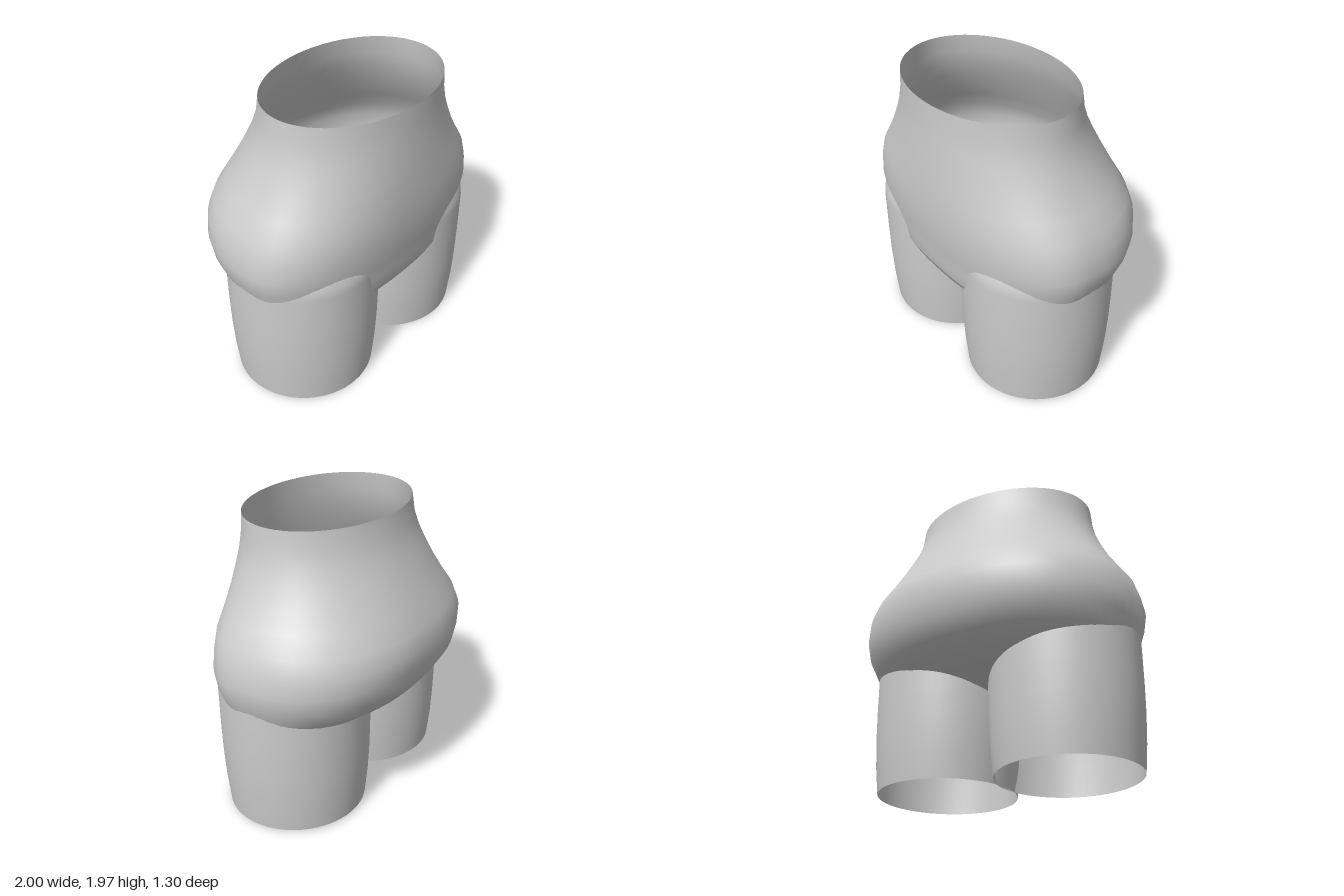
import * as THREE from 'three';

const material = new THREE.MeshStandardMaterial({ color: 0xcccccc, side: THREE.DoubleSide });
const SEGMENTS = 64;

// Smooth skin over closed rings, listed top to bottom.
// Each ring: [y, half width, front z, back z, roundness exponent]
function loft(rings, cx, cz, shift = () => 0) {
  const pos = [], index = [];
  const bend = (v, n) => Math.sign(v) * Math.pow(Math.abs(v), 2 / n);
  rings.forEach(([y, w, front, back, n], r) => {
    for (let i = 0; i < SEGMENTS; i++) {
      const a = (i / SEGMENTS) * Math.PI * 2;
      const c = bend(Math.cos(a), n), s = bend(Math.sin(a), n);
      const depth = s > 0 ? front - cz : cz - back;
      pos.push(cx + w * c, y + shift(y, w * c, depth * s), cz + depth * s);
      if (r === 0) continue;
      const j = (i + 1) % SEGMENTS, up = (r - 1) * SEGMENTS, dn = r * SEGMENTS;
      index.push(up + i, up + j, dn + i, up + j, dn + j, dn + i);
    }
  });
  const g = new THREE.BufferGeometry();
  g.setAttribute('position', new THREE.Float32BufferAttribute(pos, 3));
  g.setIndex(index);
  g.computeVertexNormals();
  return g;
}

export function createModel() {
  const model = new THREE.Group();
  model.name = 'mannequinHips';

  // Torso: open at the waist, closed underneath
  const torso = new THREE.Mesh(loft([
    [1.97, 0.655, 0.615, -0.345, 2],
    [1.85, 0.667, 0.617, -0.365, 2],
    [1.74, 0.69, 0.622, -0.402, 2.05],
    [1.63, 0.735, 0.63, -0.45, 2.1],
    [1.52, 0.79, 0.638, -0.502, 2.15],
    [1.41, 0.86, 0.645, -0.555, 2.2],
    [1.29, 0.94, 0.65, -0.612, 2.3],
    [1.18, 0.975, 0.65, -0.647, 2.35],
    [1.06, 1.0, 0.644, -0.635, 2.35],
    [0.95, 0.982, 0.628, -0.612, 2.35],
    [0.84, 0.945, 0.613, -0.545, 2.3],
    [0.75, 0.9, 0.604, -0.42, 2.4],
    [0.69, 0.82, 0.58, -0.29, 2.4],
    [0.64, 0.7, 0.51, -0.18, 2.3],
    [0.58, 0.4, 0.33, -0.02, 2.1],
    [0.565, 0, 0.13, 0.13, 2],
  ], 0, 0.13), material);
  torso.name = 'torso';
  model.add(torso);

  // Legs: open tubes below, domed tops hidden inside the torso
  const cz = 0.11;
  const ring = (y, w, d) => [y, w, cz + d, cz - d, 2];
  const legRings = [];
  for (let i = 0; i <= 10; i++) {
    const a = (i / 10) * Math.PI / 2;
    legRings.push(ring(0.9 + 0.36 * Math.cos(a), 0.503 * Math.sin(a), 0.493 * Math.sin(a)));
  }
  legRings.push(ring(0.6, 0.503, 0.492), ring(0.4, 0.499, 0.489),
    ring(0.2, 0.488, 0.48), ring(0.012, 0.47, 0.462));
  for (const side of [1, -1]) {
    // The cut at the bottom leans slightly up toward the back and the outside
    const lean = (y, x, z) => (y < 0.1 ? 0.009 * side * x - 0.015 * z : 0);
    const leg = new THREE.Mesh(loft(legRings, side * 0.457, cz, lean), material);
    leg.name = side > 0 ? 'leftLeg' : 'rightLeg';
    model.add(leg);
  }
  return model;
}
